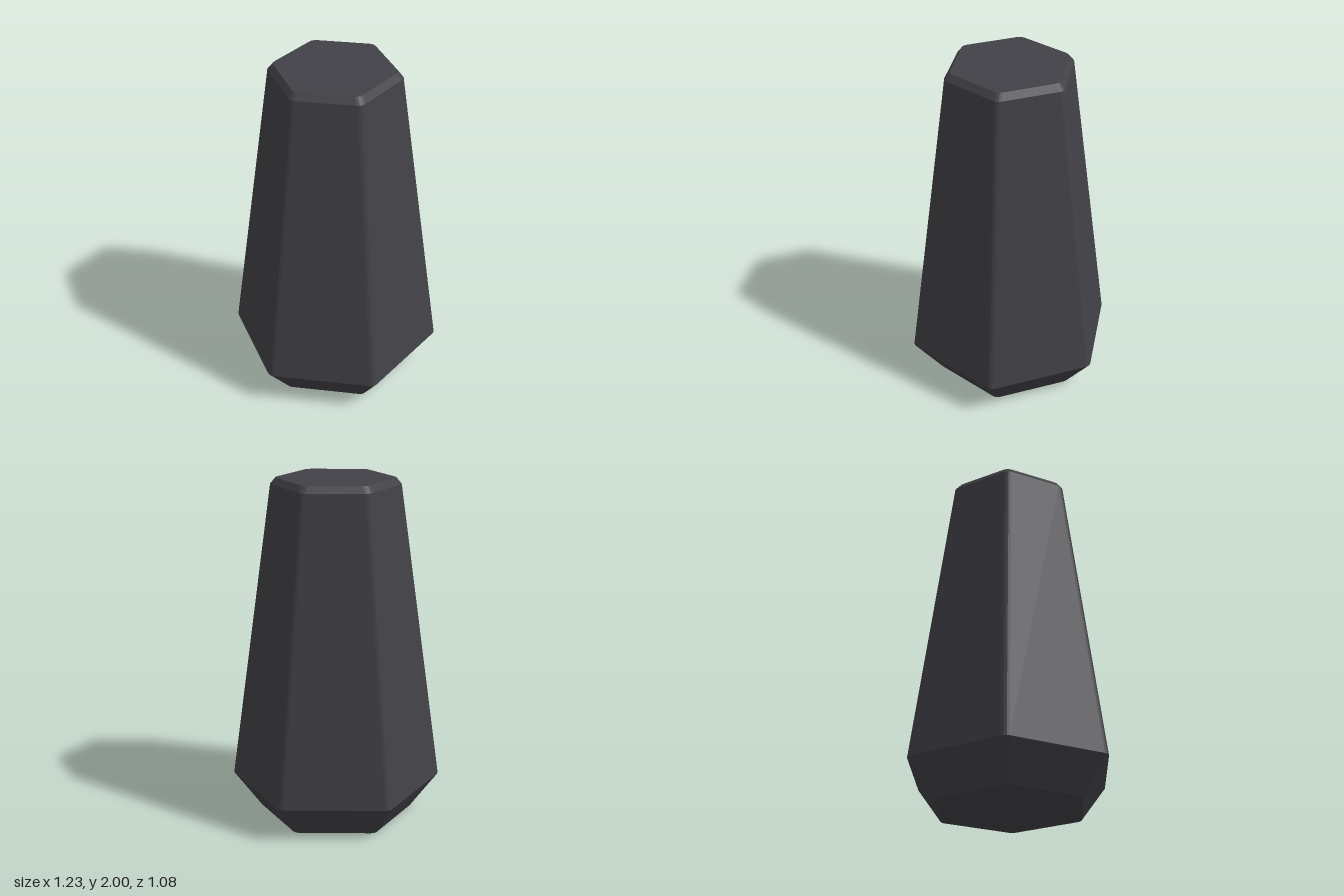
import * as THREE from 'three';

const SIDES = 6;
const CORNER_RADIUS = 0.045;
const ARC_STEPS = 3;

// Hexagon outline with rounded corners, points on +x and -x
function hexRing(apothem, y) {
  const centre = (apothem - CORNER_RADIUS) / Math.cos(Math.PI / SIDES);
  const points = [];
  for (let i = 0; i < SIDES; i++) {
    const corner = (i * 2 * Math.PI) / SIDES;
    for (let j = 0; j <= ARC_STEPS; j++) {
      const a = corner + (j / ARC_STEPS - 0.5) * ((2 * Math.PI) / SIDES);
      points.push(new THREE.Vector3(
        centre * Math.cos(corner) + CORNER_RADIUS * Math.cos(a),
        y,
        -centre * Math.sin(corner) - CORNER_RADIUS * Math.sin(a)
      ));
    }
  }
  return points;
}

function facetGeometry(triangles) {
  const geometry = new THREE.BufferGeometry().setFromPoints(triangles);
  geometry.computeVertexNormals();
  return geometry;
}

// Wall between two outlines
function wall(lower, upper) {
  const tris = [];
  lower.forEach((p, i) => {
    const n = (i + 1) % lower.length;
    tris.push(p, lower[n], upper[n], p, upper[n], upper[i]);
  });
  return facetGeometry(tris);
}

// Flat lid over one outline
function lid(ring, facingUp) {
  const centre = new THREE.Vector3(0, ring[0].y, 0);
  const tris = [];
  ring.forEach((p, i) => {
    const q = ring[(i + 1) % ring.length];
    if (facingUp) tris.push(centre, p, q);
    else tris.push(centre, q, p);
  });
  return facetGeometry(tris);
}

export function createModel() {
  const group = new THREE.Group();
  group.name = 'taperedHexPost';
  const charcoal = new THREE.MeshStandardMaterial({ color: 0x424147, flatShading: true });
  charcoal.name = 'charcoal';

  const add = (name, geometry) => {
    const mesh = new THREE.Mesh(geometry, charcoal);
    mesh.name = name;
    group.add(mesh);
  };

  // Outlines from the foot to the top
  const foot = hexRing(0.4, 0);
  const shoulder = hexRing(0.54, 0.21);
  const neck = hexRing(0.326, 1.963);
  const rim = hexRing(0.299, 2);

  add('footBottom', lid(foot, false));
  add('flaredFoot', wall(foot, shoulder));
  add('taperedBody', wall(shoulder, neck));
  add('topBevel', wall(neck, rim));
  add('topCap', lid(rim, true));

  return group;
}
